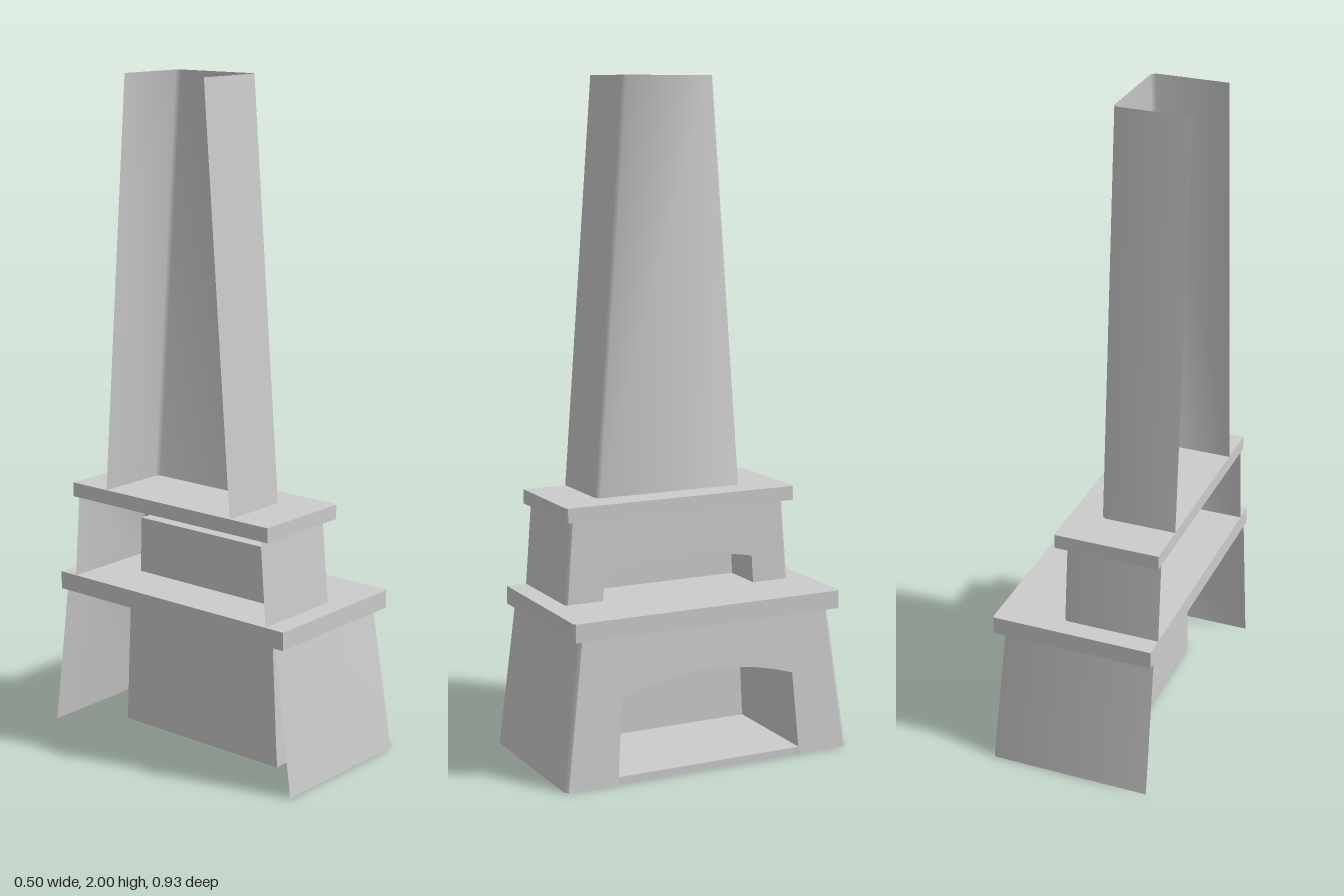
import * as THREE from 'three';
import { toCreasedNormals } from 'three/addons/utils/BufferGeometryUtils.js';

const BACK = -0.25;
const solid = new THREE.MeshStandardMaterial({ color: 0xcccccc });
const sheet = new THREE.MeshStandardMaterial({ color: 0xcccccc, side: THREE.DoubleSide });

function part(name, geometry, material = sheet) {
  const mesh = new THREE.Mesh(geometry, material);
  mesh.name = name;
  return mesh;
}

// Strip of quads between two matching paths of [x, y, z]; one quad may be left out
function ribbon(a, b, skip = -1) {
  const index = [];
  const n = a.length;
  for (let i = 0; i < n - 1; i++) {
    if (i !== skip) index.push(i, i + 1, n + i + 1, i, n + i + 1, n + i);
  }
  const g = new THREE.BufferGeometry();
  g.setAttribute('position', new THREE.Float32BufferAttribute([...a, ...b].flat(), 3));
  g.setIndex(index);
  return toCreasedNormals(g, 0.9);
}

// Three-sided plan, open at the back, with small chamfered corners
function plan(y, x, z, c) {
  return [[BACK, y, z], [x - c, y, z], [x, y, z - c],
    [x, y, c - z], [x - c, y, -z], [BACK, y, -z]];
}

// Mantel slab with eased front corners
function slab(name, y, height, x, z) {
  const c = 0.005;
  const outline = plan(0, x, z, c).map(([px, , pz]) => new THREE.Vector2(px, -pz));
  const g = new THREE.ExtrudeGeometry(new THREE.Shape(outline), { depth: height, bevelEnabled: false });
  g.rotateX(-Math.PI / 2);
  g.translate(0, y, 0);
  return part(name, g, solid);
}

// Leaning three-sided body with an arched opening and a recessed box behind it
function archedBody(name, o) {
  const group = new THREE.Group();
  group.name = name;
  const c = o.chamfer;
  const face = (y) => o.x0 + (o.x1 - o.x0) * y / o.height;

  group.add(part(name + 'Sides', ribbon(plan(0, o.x0, o.z0, c), plan(o.height, o.x1, o.z1, c), 2)));

  // Arch outline, running along the opening from left to right
  const path = new THREE.Path();
  path.moveTo(-o.foot, 0);
  path.lineTo(-o.spring, o.springY);
  path.quadraticCurveTo(0, 2 * o.apex - o.springY, o.spring, o.springY);
  path.lineTo(o.foot, 0);
  const arch = path.getPoints(16);

  // Front face, set onto the leaning plane
  const front = new THREE.ShapeGeometry(new THREE.Shape([...arch,
    new THREE.Vector2(o.z0 - c, 0), new THREE.Vector2(o.z1 - c, o.height),
    new THREE.Vector2(c - o.z1, o.height), new THREE.Vector2(c - o.z0, 0)]));
  const p = front.attributes.position;
  for (let i = 0; i < p.count; i++) p.setXYZ(i, face(p.getY(i)), p.getY(i), -p.getX(i));
  front.computeVertexNormals();
  group.add(part(name + 'Front', front));

  // Thickness of the arch
  const rim = (d) => arch.map((v) => [face(v.y) - d, v.y, -v.x]);
  group.add(part(name + 'Reveal', ribbon(rim(0), rim(o.reveal))));

  // Recess: two sides, ceiling and back
  const box = [[-o.foot, 0], [-o.spring, o.ceiling], [o.spring, o.ceiling], [o.foot, 0]];
  group.add(part(name + 'RecessWalls', ribbon(
    box.map(([u, y]) => [face(y) - 0.003, y, -u]),
    box.map(([u, y]) => [o.recessX, y, -u]))));
  const back = new THREE.ShapeGeometry(new THREE.Shape(box.map(([u, y]) => new THREE.Vector2(u, y))));
  back.rotateY(Math.PI / 2);
  back.translate(o.recessX, 0, 0);
  group.add(part(name + 'RecessBack', back));
  return group;
}

export function createModel() {
  const model = new THREE.Group();
  model.name = 'fireplace';

  // Hearth body with firebox
  model.add(archedBody('hearth', {
    height: 0.435, x0: 0.246, x1: 0.221, z0: 0.463, z1: 0.406, chamfer: 0.01,
    foot: 0.298, spring: 0.28, springY: 0.25, apex: 0.297, reveal: 0.05,
    ceiling: 0.37, recessX: -0.105,
  }));
  const floor = part('fireboxFloor', new THREE.BoxGeometry(0.35, 0.022, 0.596), solid);
  floor.position.set(0.07, 0.011, 0);
  model.add(floor);
  model.add(slab('lowerMantel', 0.433, 0.054, 0.246, 0.432));

  // Upper body with shallow niche
  const niche = archedBody('niche', {
    height: 0.25, x0: 0.044, x1: 0.041, z0: 0.37, z1: 0.351, chamfer: 0.008,
    foot: 0.25, spring: 0.245, springY: 0.083, apex: 0.109, reveal: 0.04,
    ceiling: 0.17, recessX: -0.09,
  });
  niche.position.y = 0.487;
  model.add(niche);
  model.add(slab('upperMantel', 0.735, 0.043, 0.07, 0.375));

  // Tapering chimney, open at the top and back
  model.add(part('chimney', ribbon(
    plan(0.778, -0.022, 0.238, 0.011), plan(2, -0.024, 0.146, 0.011))));
  return model;
}
